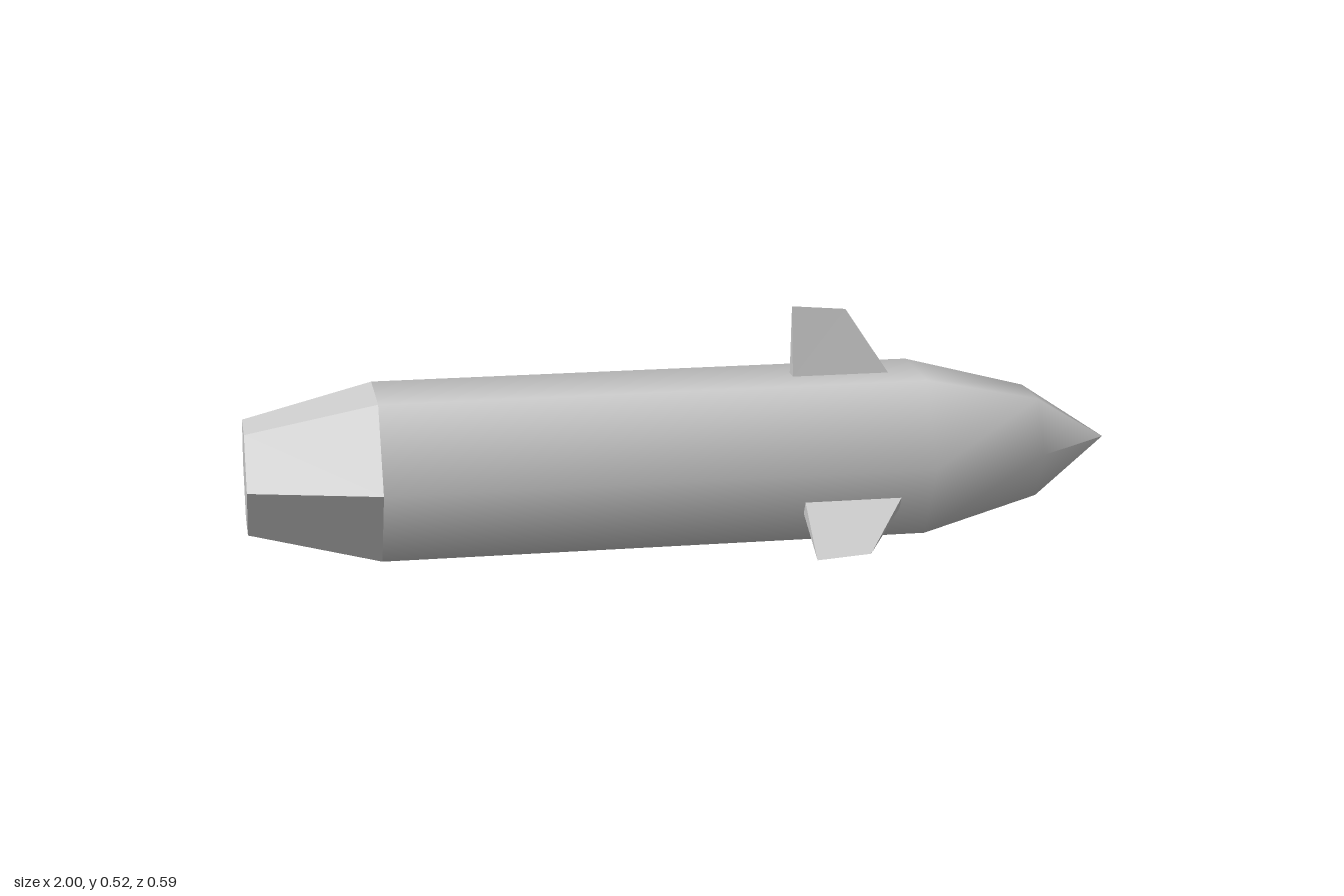
import * as THREE from 'three';

const AXIS_Y = 0.182; // height of the long axis
const SIDES = 6;

// Give every face its own flat normal
function faceted(geometry) {
  const flat = geometry.index ? geometry.toNonIndexed() : geometry;
  flat.computeVertexNormals();
  return flat;
}

// Wedge fin: rectangular root tapering to a sharp outer edge
function finGeometry() {
  const x0 = 0.25, xRoot = 0.475, xTip = 0.375, w = 0.018, root = 0.18;
  const geometry = new THREE.BufferGeometry();
  geometry.setAttribute('position', new THREE.Float32BufferAttribute([
    x0, root, w, xRoot, root, w, xRoot, root, -w, x0, root, -w,
    x0, 0.343, 0, xTip, 0.332, 0,
  ], 3));
  geometry.setIndex([
    0, 1, 5, 0, 5, 4, // +z side
    2, 3, 4, 2, 4, 5, // -z side
    1, 2, 5, // leading face
    3, 0, 4, // trailing face
    0, 3, 2, 0, 2, 1, // root
  ]);
  return faceted(geometry);
}

export function createModel() {
  const model = new THREE.Group();
  model.name = 'finnedProjectile';
  const assembly = new THREE.Group();
  assembly.name = 'assembly';
  assembly.position.y = AXIS_Y;
  model.add(assembly);

  const grey = new THREE.MeshStandardMaterial({ color: 0xcccccc });
  grey.name = 'lightGrey';

  function add(name, geometry) {
    const mesh = new THREE.Mesh(geometry, grey);
    mesh.name = name;
    assembly.add(mesh);
    return mesh;
  }

  // Smooth-shaded six-sided hull with a pointed nose
  const profile = [[0.21, -0.705], [0.21, 0.545], [0.134, 0.82], [0, 1]]
    .map(([r, x]) => new THREE.Vector2(r, x));
  add('hull', new THREE.LatheGeometry(profile, SIDES).rotateZ(-Math.PI / 2));

  // Faceted tail cone, closed at the back
  const tail = new THREE.CylinderGeometry(0.21, 0.134, 0.295, SIDES);
  tail.translate(0, -0.8525, 0).rotateZ(-Math.PI / 2);
  add('tailCone', faceted(tail));

  // Three fins evenly spaced around the hull
  const fin = finGeometry();
  ['topFin', 'frontFin', 'backFin'].forEach((name, i) => {
    add(name, fin).rotation.x = (i * Math.PI * 2) / 3;
  });

  return model;
}
